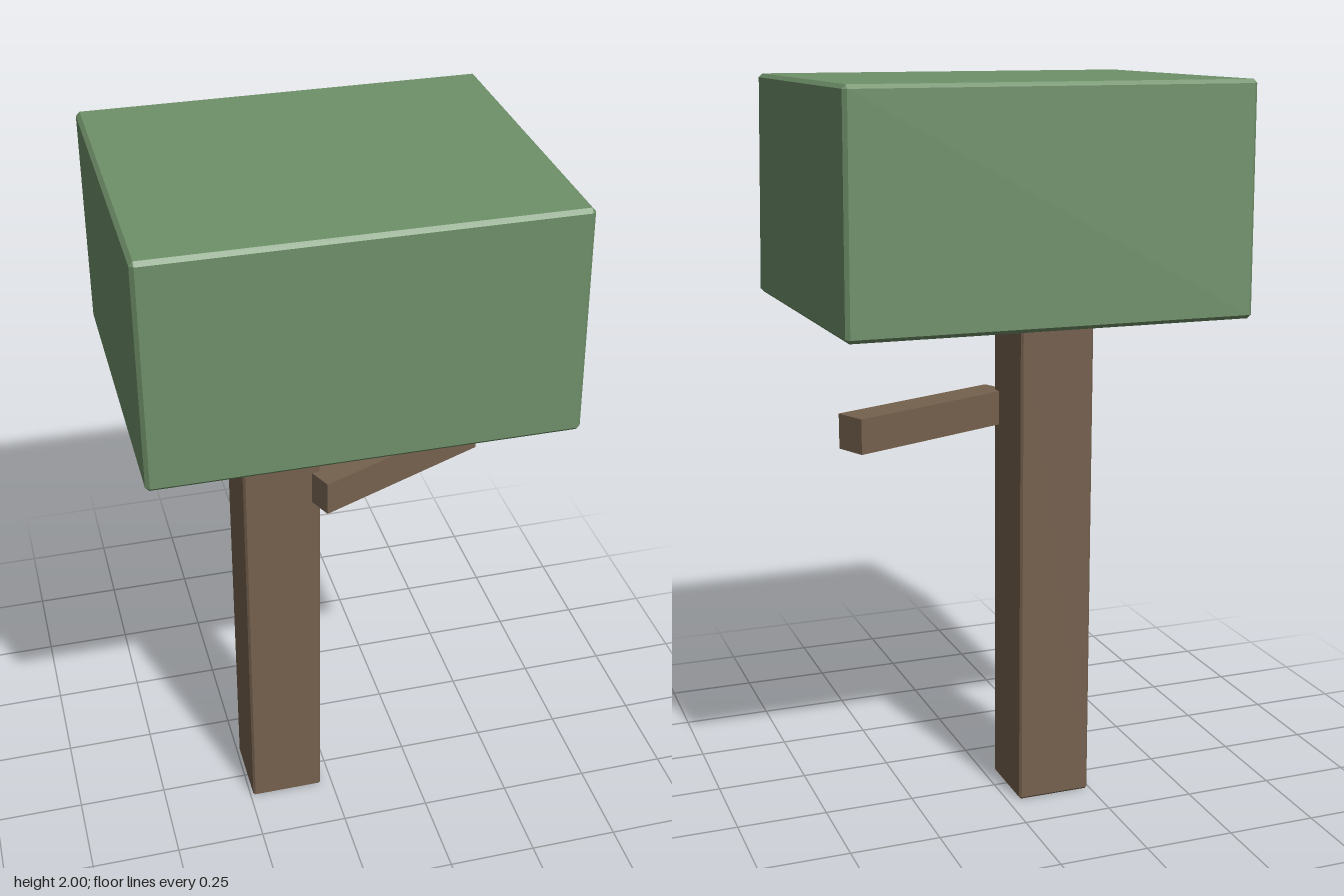
import * as THREE from 'three';
import { ConvexGeometry } from 'three/addons/geometries/ConvexGeometry.js';

// Block with cut edges: each corner is replaced by three points set back by b
function chamferedBlock(corners, b) {
  const mid = new THREE.Vector3();
  corners.forEach(([x, y, z]) => mid.add(new THREE.Vector3(x, y, z).divideScalar(corners.length)));
  const points = [];
  for (const c of corners) {
    const inset = c.map((v, i) => v - Math.sign(v - mid.getComponent(i)) * b);
    for (let axis = 0; axis < 3; axis++) {
      const p = [...inset];
      p[axis] = c[axis];
      points.push(new THREE.Vector3(...p));
    }
  }
  return new ConvexGeometry(points);
}

export function createModel() {
  const model = new THREE.Group();
  model.name = 'tree';

  const leafGreen = new THREE.MeshStandardMaterial({ color: 0x6f9069 });
  leafGreen.name = 'leafGreen';
  const barkBrown = new THREE.MeshStandardMaterial({ color: 0x75614e });
  barkBrown.name = 'barkBrown';

  const add = (name, geometry, material) => {
    const mesh = new THREE.Mesh(geometry, material);
    mesh.name = name;
    model.add(mesh);
    return mesh;
  };

  // Square trunk with narrow cut edges
  const trunkCorners = [];
  for (const x of [-0.242, -0.034])
    for (const y of [0, 1.4])
      for (const z of [-0.115, 0.093]) trunkCorners.push([x, y, z]);
  add('trunk', chamferedBlock(trunkCorners, 0.006), barkBrown);

  // Slightly skewed block of leaves
  add('canopy', chamferedBlock([
    [-0.54, 1.403, 0.435], [0.54, 1.403, 0.435],
    [-0.54, 1.403, -0.438], [0.528, 1.403, -0.426],
    [-0.54, 2, 0.435], [0.525, 2, 0.435],
    [-0.54, 2, -0.425], [0.522, 2, -0.422],
  ], 0.01), leafGreen);

  // Side branch, turned towards the back
  const branch = add('branch', new THREE.BoxGeometry(0.522, 0.094, 0.093), barkBrown);
  branch.position.set(0.192, 1.103, 0.01);
  branch.rotation.y = THREE.MathUtils.degToRad(23.1);

  return model;
}
